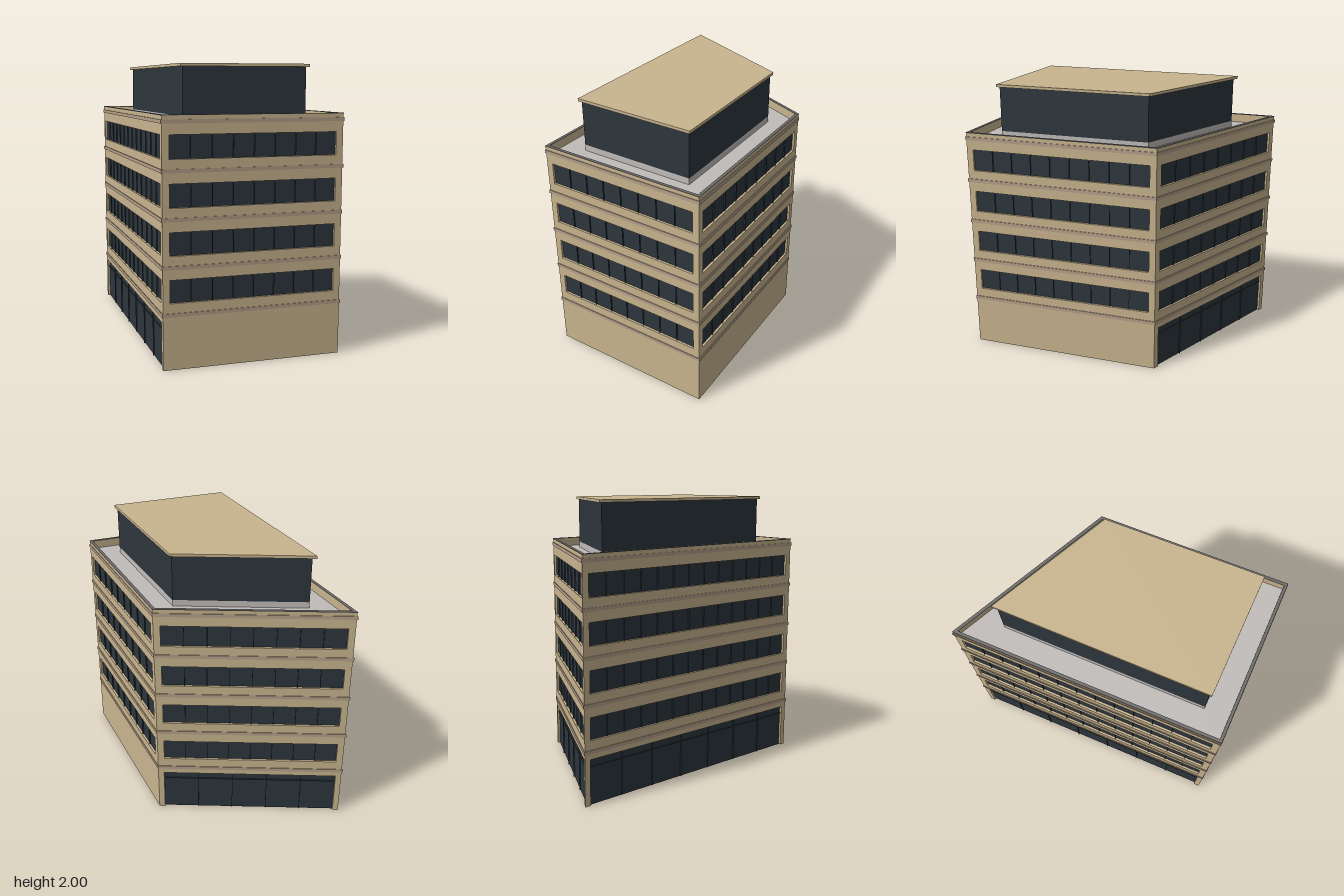
import * as THREE from 'three';

const mat = (name, color, side = THREE.FrontSide) => {
  const m = new THREE.MeshStandardMaterial({ color, side });
  m.name = name;
  return m;
};

// Plan corners as (x, z): front left, front right, back right, back left in plan
const V = (x, z) => new THREE.Vector2(x, z);
const PLAN = [V(-0.587, 0.993), V(0.667, 0.967), V(0.583, -0.455), V(-0.67, -0.991)];
const CAP = [V(-0.42, 0.815), V(0.485, 0.805), V(0.415, -0.34), V(-0.485, -0.73)];
const TOP = 1.67, T = 0.02;

// Outward normal of the edge from a to b
const normal = (a, b) => V(a.y - b.y, b.x - a.x).normalize();

// Polygon moved outward by d with mitred corners
function offset(pts, d) {
  const n = pts.length;
  return pts.map((p, i) => {
    const n1 = normal(pts[(i + n - 1) % n], p), n2 = normal(p, pts[(i + 1) % n]);
    return p.clone().add(n1.clone().add(n2).multiplyScalar(d / (1 + n1.dot(n2))));
  });
}

// Upright prism over a plan polygon, optionally hollow
function prism(pts, y0, y1, hole) {
  const flip = (list) => list.map((p) => V(p.x, -p.y));
  const shape = new THREE.Shape(flip(pts));
  if (hole) shape.holes.push(new THREE.Path(flip(hole)));
  const geo = new THREE.ExtrudeGeometry(shape, { depth: y1 - y0, bevelEnabled: false });
  return geo.rotateX(-Math.PI / 2).translate(0, y0, 0);
}

export function createModel() {
  const stone = mat('sandstone', 0xc9b58f);
  const trim = mat('trim band', 0xb5a08a);
  const glass = mat('dark glass', 0x2d363d);
  const gravel = mat('roof grey', 0xc0bcba);
  const metal = mat('coping grey', 0x6c6b69);

  const model = new THREE.Group();
  model.name = 'officeBuilding';
  const add = (parent, name, geo, material) => {
    const mesh = new THREE.Mesh(geo, material);
    mesh.name = name;
    parent.add(mesh);
    return mesh;
  };
  const box = (parent, name, x0, x1, y0, y1, z0, z1, material) =>
    add(parent, name, new THREE.BoxGeometry(x1 - x0, y1 - y0, z1 - z0), material)
      .position.set((x0 + x1) / 2, (y0 + y1) / 2, (z0 + z1) / 2);

  // One wall with recessed window strips and, where asked, a glazed ground floor
  function buildWall(i, name, shopfront) {
    const at = (k) => PLAN[(k + 4) % 4];
    const a = at(i), b = at(i + 1), len = a.distanceTo(b), n = normal(a, b);
    const miter = (m) => T * Math.tan(Math.acos(n.dot(m)) / 2);
    const startCut = miter(normal(at(i - 1), a)), endCut = miter(normal(b, at(i + 2)));

    const wall = new THREE.Group();
    wall.name = name;
    wall.position.set(a.x, 0, a.y);
    wall.rotation.y = Math.atan2(a.y - b.y, b.x - a.x);
    model.add(wall);

    const outline = [V(0, 0)];
    const m = 0.042, shopTop = 0.32;
    if (shopfront) outline.push(V(m, 0), V(m, shopTop), V(len - m, shopTop), V(len - m, 0));
    outline.push(V(len, 0), V(len, TOP), V(0, TOP));
    const shape = new THREE.Shape(outline);

    const glaze = (label, x0, x1, y0, y1, pane) => {
      box(wall, label, x0, x1, y0, y1, -T, -T + 0.004, glass);
      const count = Math.round((x1 - x0) / pane);
      for (let k = 1; k < count; k++) {
        const x = x0 + ((x1 - x0) * k) / count;
        box(wall, 'mullion', x - 0.002, x + 0.002, y0, y1, -T + 0.004, -0.007, glass);
      }
    };

    for (let f = 0; f < 4; f++) {
      const y0 = 0.45 + f * 0.314, y1 = y0 + 0.156, x0 = 0.048, x1 = len - 0.048;
      shape.holes.push(new THREE.Path([V(x0, y0), V(x0, y1), V(x1, y1), V(x1, y0)]));
      glaze('windowStrip', x0, x1, y0, y1, 0.15);
    }
    if (shopfront) {
      glaze('shopfrontGlass', m, len - m, 0, shopTop, 0.28);
      box(wall, 'transom', m, len - m, 0.264, 0.268, -T + 0.004, -0.007, glass);
    }

    // Mitre the inner ends so neighbouring walls meet cleanly
    const geo = new THREE.ExtrudeGeometry(shape, { depth: T, bevelEnabled: false });
    geo.translate(0, 0, -T);
    const p = geo.attributes.position;
    for (let k = 0; k < p.count; k++) {
      if (p.getZ(k) > -T / 2) continue;
      if (p.getX(k) < 1e-4) p.setX(k, startCut);
      else if (p.getX(k) > len - 1e-4) p.setX(k, len - endCut);
    }
    geo.computeVertexNormals();
    add(wall, name + 'Panel', geo, stone);
  }
  buildWall(0, 'frontWall', false);
  buildWall(1, 'leftWall', false);
  buildWall(2, 'backWall', true);
  buildWall(3, 'rightWall', true);

  // Trim bands between storeys
  for (let f = 0; f < 5; f++) {
    const y = 0.359 + f * 0.315;
    add(model, 'trimBand', prism(offset(PLAN, 0.005), y, y + 0.025, offset(PLAN, -0.008)), trim);
  }

  // Sunken roof and parapet coping
  add(model, 'roof', prism(offset(PLAN, -T), 1.595, 1.61), gravel);
  add(model, 'coping', prism(offset(PLAN, 0.002), TOP, TOP + 0.004, offset(PLAN, -T - 0.001)), metal);

  // Rooftop penthouse on a low curb, with an overhanging cap
  const core = offset(CAP, -0.018);
  add(model, 'penthouseCurb', prism(core, 1.61, 1.655), gravel);
  add(model, 'penthouse', prism(core, 1.655, 1.98), glass);
  add(model, 'penthouseCap', prism(CAP, 1.98, 2.0), stone);

  return model;
}
